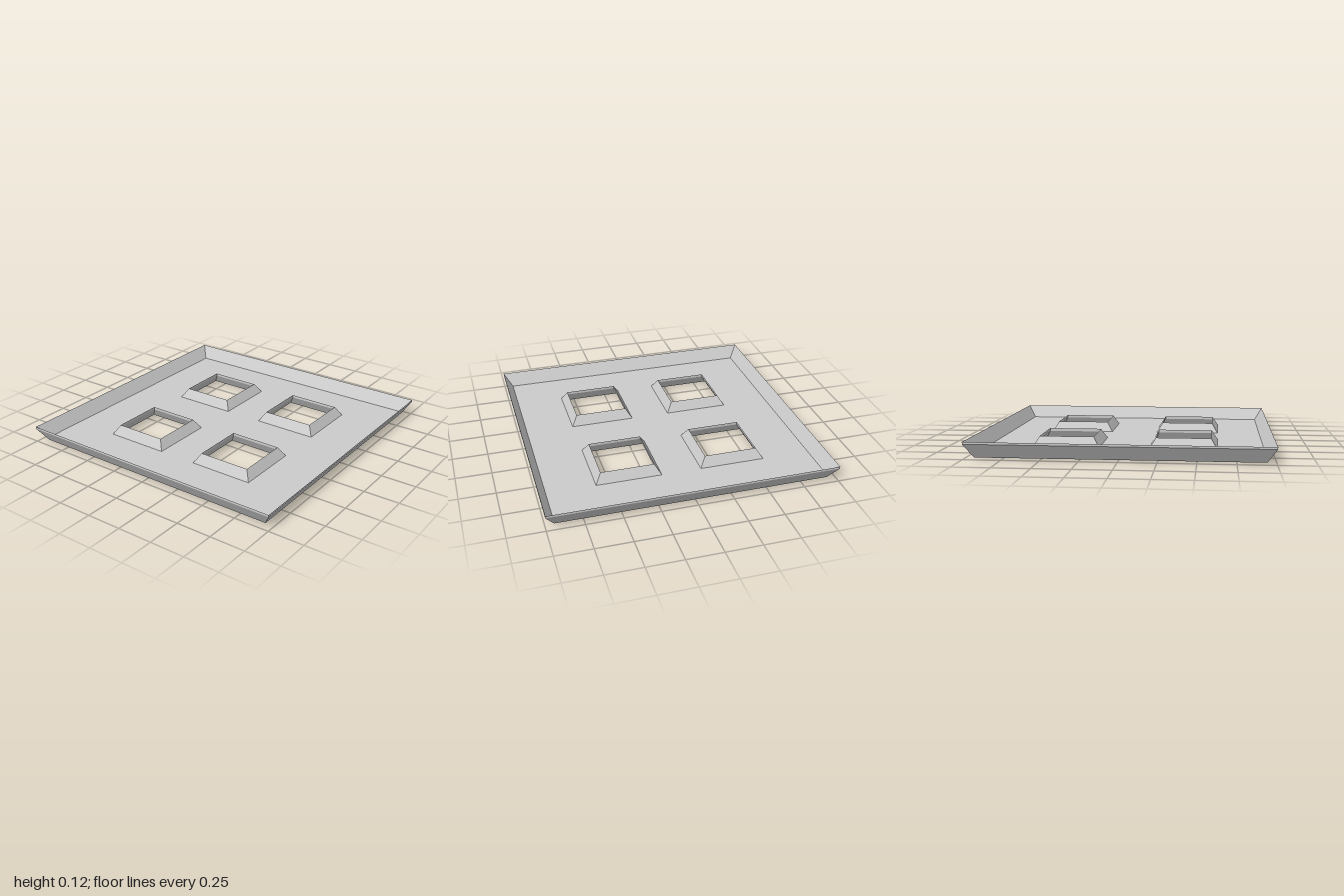
import * as THREE from 'three';

const material = new THREE.MeshStandardMaterial({ color: 0xcccccc, flatShading: true, side: THREE.DoubleSide });

// Sweeps a [half width, height] profile around a square
function squareRing(name, profile) {
  const points = profile.map(([half, y]) => new THREE.Vector2(half * Math.SQRT2, y));
  const geometry = new THREE.LatheGeometry(points, 4, Math.PI / 4).toNonIndexed();
  geometry.computeVertexNormals();
  const mesh = new THREE.Mesh(geometry, material);
  mesh.name = name;
  return mesh;
}

function square(path, cx, cy, half) {
  path.moveTo(cx - half, cy - half);
  path.lineTo(cx + half, cy - half);
  path.lineTo(cx + half, cy + half);
  path.lineTo(cx - half, cy + half);
  path.closePath();
  return path;
}

export function createModel() {
  const group = new THREE.Group();
  group.name = 'tray';

  const bottom = 0.005, top = 0.023, floorHalf = 0.94, holeHalf = 0.23;
  const centres = [];
  for (const x of [-0.4, 0.4]) for (const z of [-0.37, 0.37]) centres.push([x, z]);

  // Flat floor with four square openings
  const shape = square(new THREE.Shape(), 0, 0, floorHalf);
  for (const [x, z] of centres) shape.holes.push(square(new THREE.Path(), x, z, holeHalf));
  const floorGeometry = new THREE.ExtrudeGeometry(shape, { depth: top - bottom, bevelEnabled: false });
  floorGeometry.rotateX(-Math.PI / 2).translate(0, bottom, 0);
  const floor = new THREE.Mesh(floorGeometry, material);
  floor.name = 'floor';
  group.add(floor);

  // Rim sloping outwards to a thin upright edge
  group.add(squareRing('rim', [[floorHalf, bottom], [1, 0.1], [1, 0.115], [floorHalf, top]]));

  // Raised collars sloping inwards around the openings
  for (const [x, z] of centres) {
    const collar = squareRing('collar', [
      [holeHalf, 0], [holeHalf, top], [0.187, 0.092], [0.187, 0.072], [holeHalf, 0],
    ]);
    collar.position.set(x, 0, z);
    group.add(collar);
  }
  return group;
}
